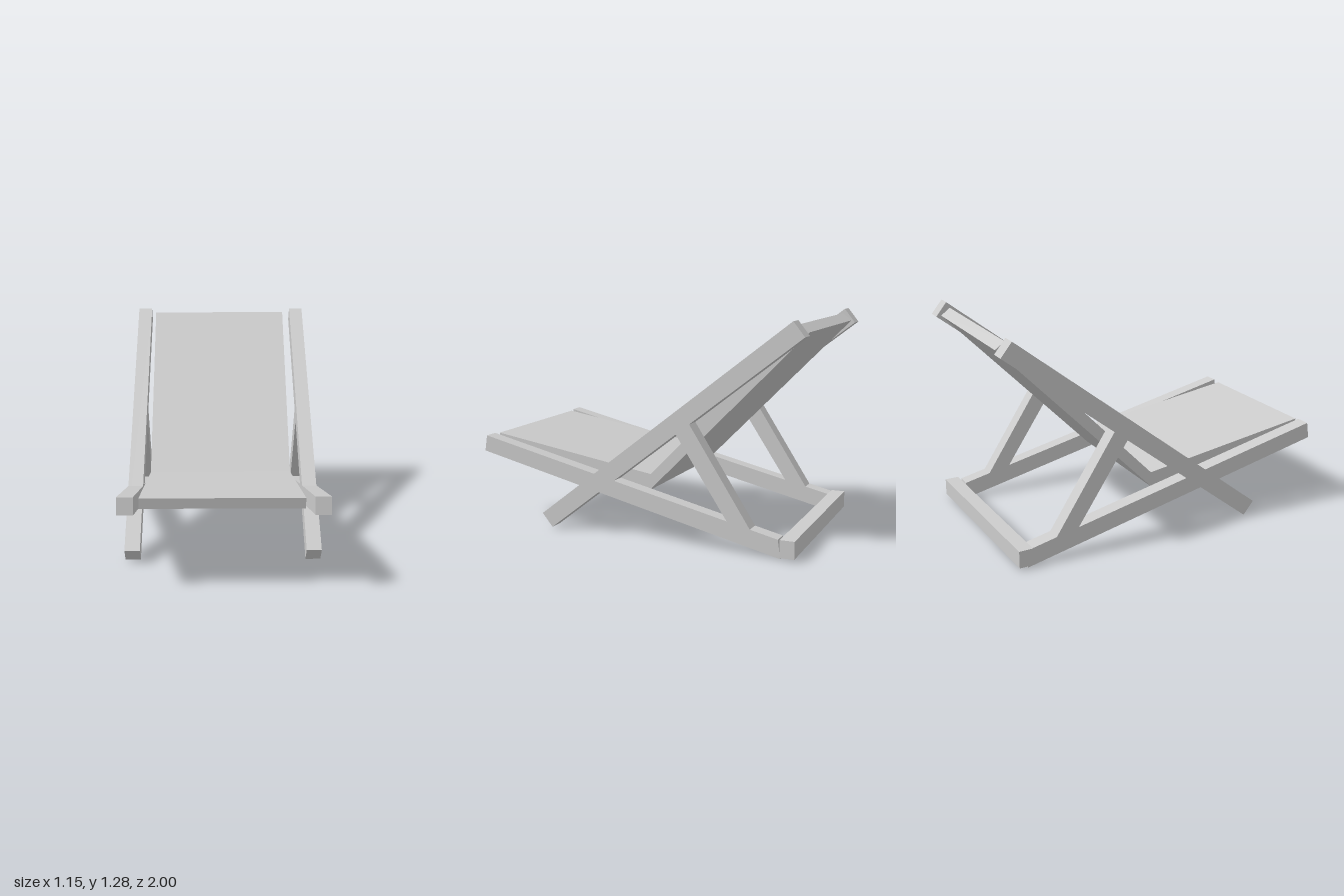
import * as THREE from 'three';

const wood = new THREE.MeshStandardMaterial({ color: 0xcccccc });
wood.name = 'pale grey';

// Side profile given as [z, y] points, extruded across x from x0 to x1
function sidePanel(name, points, x0, x1) {
  const shape = new THREE.Shape(points.map(([z, y]) => new THREE.Vector2(z, y)));
  const geometry = new THREE.ExtrudeGeometry(shape, { depth: x1 - x0, bevelEnabled: false });
  geometry.rotateY(-Math.PI / 2);
  geometry.translate(x1, 0, 0);
  const mesh = new THREE.Mesh(geometry, wood);
  mesh.name = name;
  return mesh;
}

const backRail = [[0.60, 0.09], [0.535, 0.012], [-1.0, 1.207], [-0.935, 1.288]];
const seatRail = [[0.985, 0.532], [1.0, 0.437], [-0.89, 0.008], [-0.875, 0.115]];
const strut = [[-0.27, 0.645], [-0.35, 0.71], [-0.715, 0.15], [-0.58, 0.18]];
// Sling: thick seat slab running into the reclined back
const sling = [
  [0.985, 0.525], [0.975, 0.465], [-0.045, 0.267],
  [-0.985, 1.222], [-0.93, 1.263], [-0.055, 0.365],
];

export function createModel() {
  const model = new THREE.Group();
  model.name = 'deckChair';

  // Side frames
  for (const [side, x0, x1] of [['right', -0.568, -0.48], ['left', 0.47, 0.556]]) {
    const frame = new THREE.Group();
    frame.name = side + 'Frame';
    frame.add(
      sidePanel(side + 'BackRail', backRail, x0, x1),
      sidePanel(side + 'SeatRail', seatRail, x0, x1),
      sidePanel(side + 'Strut', strut, x0, x1),
    );
    model.add(frame);
  }

  // Seat and back
  model.add(sidePanel('sling', sling, -0.452, 0.422));

  // Rear crossbar, set slightly askew
  const bar = new THREE.Mesh(new THREE.BoxGeometry(1.153, 0.1, 0.083), wood);
  bar.name = 'rearCrossbar';
  bar.position.set(-0.002, 0.071, -0.917);
  bar.rotation.y = 0.027;
  model.add(bar);

  return model;
}
